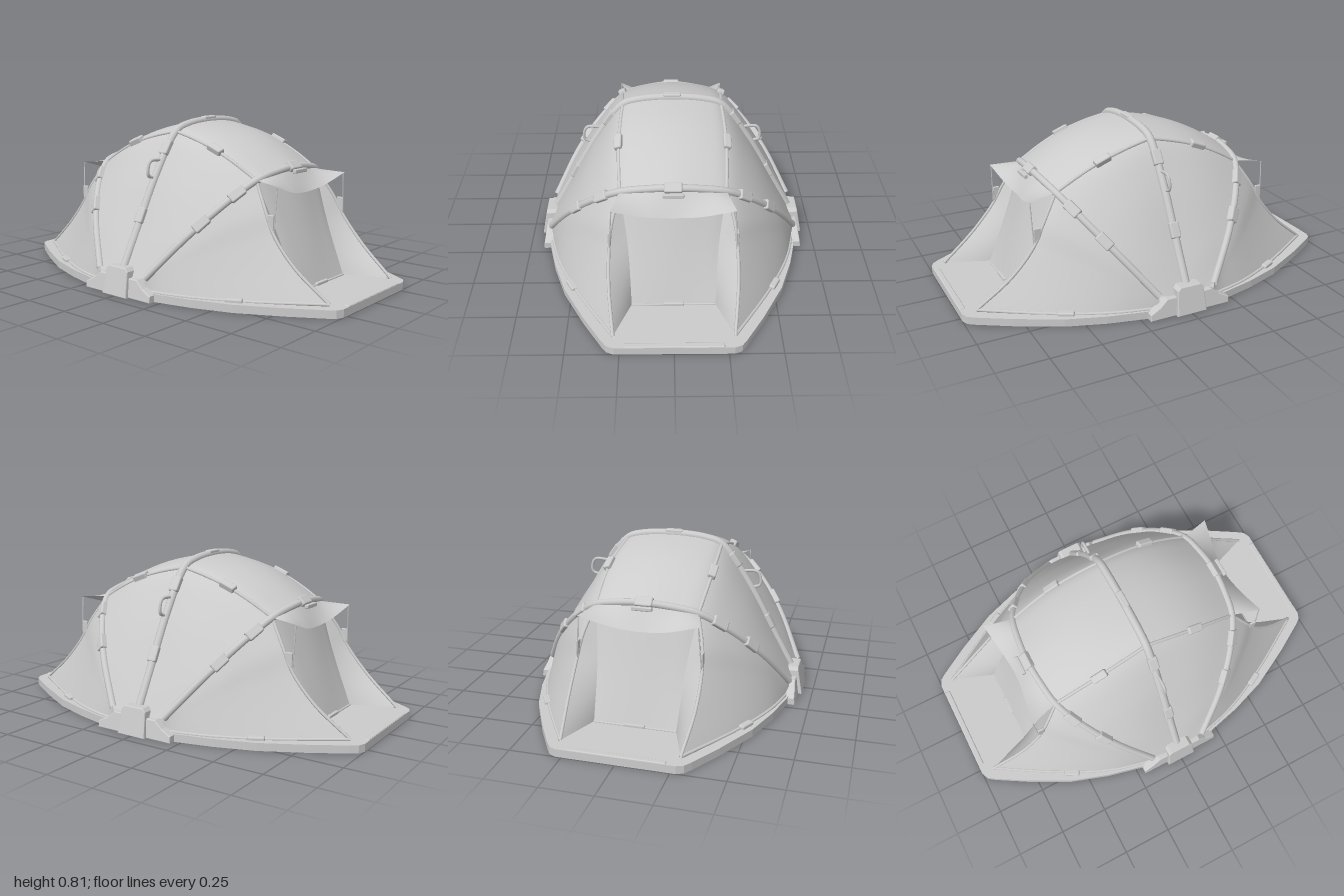
import * as THREE from 'three';
import { RoundedBoxGeometry } from 'three/addons/geometries/RoundedBoxGeometry.js';

const V = (x, y, z) => new THREE.Vector3(x, y, z);
const mat = new THREE.MeshStandardMaterial({ color: 0xcccccc, side: THREE.DoubleSide });
const spline = (pts) => new THREE.CatmullRomCurve3(pts);

function add(parent, name, geometry) {
  const m = new THREE.Mesh(geometry, mat);
  m.name = name;
  parent.add(m);
  return m;
}

// Surface from a rule f(a, b) -> point, with a and b running 0..1
function patch(f, na, nb) {
  const pos = [], idx = [];
  for (let i = 0; i <= na; i++)
    for (let j = 0; j <= nb; j++) pos.push(...f(i / na, j / nb).toArray());
  for (let i = 0; i < na; i++)
    for (let j = 0; j < nb; j++) {
      const p = i * (nb + 1) + j, q = p + nb + 1;
      idx.push(p, q, p + 1, q, q + 1, p + 1);
    }
  const g = new THREE.BufferGeometry();
  g.setAttribute('position', new THREE.Float32BufferAttribute(pos, 3));
  g.setIndex(idx);
  g.computeVertexNormals();
  return g;
}

const tube = (curve, r, n = 48, sides = 8) => new THREE.TubeGeometry(curve, n, r, sides, false);

// Arch through half-profile points [x, y, z], mirrored over z
function arch(half) {
  const a = half.map((p) => V(...p));
  const b = half.slice(0, -1).reverse().map(([x, y, z]) => V(x, y, -z));
  return spline([...a, ...b]);
}

const midArch = arch([[0, 0.08, 0.65], [0, 0.27, 0.545], [0, 0.56, 0.385], [0, 0.745, 0.248], [0, 0.772, 0.17], [0, 0.785, 0]]);
const sideArch = arch([[0.64, 0.1], [0.51, 0.31], [0.375, 0.46], [0.25, 0.55], [0.13, 0.578], [0, 0.59]]
  .map(([z, y]) => [0.15 + 0.78 * (y - 0.1), y, z]));
const SEAM = 0.3; // position of the roof seam along both arches

// Roof cloth stretched between the arches, slightly bulged
function canopyPoint(u, t) {
  const p = midArch.getPoint(u).lerp(sideArch.getPoint(u), t);
  const out = p.clone().sub(V(0, 0.05, 0)).normalize();
  return p.addScaledVector(out, 0.038 * Math.sin(Math.PI * t) * Math.sin(Math.PI * u));
}

// Small clip lying on a curve, facing outwards
function clip(parent, curve, u, w = 0.085, d = 0.05, out = null) {
  const p = curve.getPoint(u), x = curve.getTangent(u).normalize();
  const o = out || p.clone().sub(V(0, 0.05, 0));
  const z = x.clone().cross(o).normalize(), y = z.clone().cross(x);
  const m = add(parent, 'clip', new RoundedBoxGeometry(w, 0.045, d, 2, 0.008));
  m.quaternion.setFromRotationMatrix(new THREE.Matrix4().makeBasis(x, y, z));
  m.position.copy(p);
}

// One end of the tent (+x): roof, side arch, wings, doorway, awning
function createEnd() {
  const g = new THREE.Group();
  g.name = 'tentEnd';
  add(g, 'roofCloth', patch(canopyPoint, 60, 14));
  add(g, 'sideArch', tube(sideArch, 0.018, 80, 10));
  [0.5, 0.13, 0.23, 0.77, 0.87].forEach((u) => clip(g, sideArch, u));

  for (const s of [1, -1]) {
    const m = (x, y, z) => V(x, y, z * s);
    const archU = (k) => (s > 0 ? k : 1 - k);
    const top = sideArch.getPoint(archU(SEAM));

    // Roof seam
    const seam = spline([0, 0.25, 0.5, 0.75, 1].map((t) => canopyPoint(archU(SEAM), t)));
    add(g, 'roofSeam', tube(seam, 0.009));
    clip(g, seam, 0.5, 0.085, 0.04);

    // Wing cloth from the arch to the base, with a curved free edge
    const hem = spline([m(0.15, 0.04, 0.64), m(0.36, 0.04, 0.585), m(0.6, 0.04, 0.475), m(0.93, 0.045, 0.28)]);
    const edge = spline([top, m(0.585, 0.42, 0.29), m(0.64, 0.32, 0.302), m(0.755, 0.187, 0.302), m(0.93, 0.045, 0.28)]);
    const wing = (k, t) => {
      const p = sideArch.getPoint(archU(SEAM * k)).lerp(hem.getPoint(k), t);
      const off = edge.getPoint(t).sub(top.clone().lerp(m(0.93, 0.045, 0.28), t));
      return p.addScaledVector(off, k ** 1.5);
    };
    add(g, 'wingCloth', patch(s > 0 ? (a, b) => wing(a, b) : (a, b) => wing(1 - a, b), 28, 24));
    add(g, 'wingHem', tube(hem, 0.008));
    add(g, 'wingEdge', tube(edge, 0.008));
    clip(g, hem, 0.62, 0.08, 0.03);

    // Inner wall of the porch
    const inner = spline([top, m(0.6, 0.3, 0.215), m(0.71, 0.04, 0.2)]);
    add(g, 'porchWall', patch((a, b) => edge.getPoint(b).lerp(inner.getPoint(b), s > 0 ? a : 1 - a), 8, 24));

    // Cord and toggle holding the awning corner
    add(g, 'awningCord', tube(new THREE.LineCurve3(m(0.645, 0.535, 0.285), m(0.64, 0.33, 0.3)), 0.003, 1, 5));
    add(g, 'cordToggle', new RoundedBoxGeometry(0.035, 0.07, 0.012, 2, 0.004)).position.copy(m(0.622, 0.375, 0.3));
  }

  // Door cloth closing the end below the arch
  const post = spline([sideArch.getPoint(SEAM), V(0.6, 0.3, 0.215), V(0.71, 0.04, 0.2)]);
  add(g, 'doorCloth', patch((v, t) => {
    const a = post.getPoint(t), b = a.clone().setZ(-a.z);
    const rise = sideArch.getPoint(SEAM + v * (1 - 2 * SEAM))
      .sub(post.getPoint(0).lerp(post.getPoint(0).setZ(-0.25), v));
    return a.lerp(b, v).addScaledVector(rise, 1 - t);
  }, 24, 20));
  add(g, 'doorSill', tube(new THREE.LineCurve3(V(0.71, 0.04, 0.2), V(0.71, 0.04, -0.2)), 0.006, 1));
  add(g, 'sillClip', new RoundedBoxGeometry(0.02, 0.02, 0.1, 2, 0.005)).position.set(0.71, 0.042, 0);

  // Awning over the doorway, sagging in the middle
  const lip = spline([V(0.65, 0.54, 0.29), V(0.625, 0.49, 0.13), V(0.612, 0.475, 0), V(0.625, 0.49, -0.13), V(0.65, 0.54, -0.29)]);
  add(g, 'awning', patch((v, t) => sideArch.getPoint(SEAM + v * (1 - 2 * SEAM)).lerp(lip.getPoint(v), t), 28, 6));
  add(g, 'awningClip', new RoundedBoxGeometry(0.02, 0.02, 0.1, 2, 0.005)).position.set(0.575, 0.575, 0);

  // Raised strip along the outer edge of the base
  add(g, 'baseStrip', new RoundedBoxGeometry(0.03, 0.042, 0.46, 2, 0.006)).position.set(0.984, 0.022, 0);
  return g;
}

// Base plate with rounded corners
function createBase() {
  const quarter = [[1, 0.24], [1, 0.275], [0.985, 0.31], [0.95, 0.335], [0.8, 0.425], [0.59, 0.535], [0.4, 0.6], [0.15, 0.66], [0, 0.67]];
  const half = [...quarter, ...quarter.slice(0, -1).reverse().map(([x, z]) => [-x, z])];
  const all = [...half, ...half.slice().reverse().map(([x, z]) => [x, -z])];
  const shape = new THREE.Shape(all.map(([x, z]) => new THREE.Vector2(x, z)));
  const g = new THREE.ExtrudeGeometry(shape, { depth: 0.038, bevelEnabled: false });
  return g.rotateX(-Math.PI / 2);
}

// Foot joint where the three arches meet
function createHub() {
  const g = new THREE.Group();
  g.name = 'hub';
  const plate = (pts, depth, z, lean) => {
    const geo = new THREE.ExtrudeGeometry(new THREE.Shape(pts.map(([x, y]) => new THREE.Vector2(x, y))),
      { depth, bevelThickness: 0.006, bevelSize: 0.004, bevelSegments: 2 });
    const p = geo.attributes.position;
    for (let i = 0; i < p.count; i++) p.setZ(i, p.getZ(i) + z - lean * p.getY(i));
    geo.computeVertexNormals();
    return geo;
  };
  add(g, 'hubFlange', plate([[-0.21, 0.004], [0.21, 0.004], [0.21, 0.03], [0.16, 0.055], [0.12, 0.088],
    [-0.12, 0.088], [-0.16, 0.055], [-0.21, 0.03]], 0.045, 0.63, 0.15));
  add(g, 'hubBlock', plate([[-0.075, 0.004], [0.075, 0.004], [0.066, 0.12], [0.052, 0.134], [-0.052, 0.134], [-0.066, 0.12]],
    0.06, 0.634, 0.2));
  return g;
}

export function createModel() {
  const model = new THREE.Group();
  model.name = 'tent';
  add(model, 'basePlate', createBase());

  for (const turn of [0, Math.PI]) {
    const end = createEnd(), hub = createHub();
    end.rotation.y = hub.rotation.y = turn;
    model.add(end, hub);
  }

  // Middle arch with clips and carrying loops
  add(model, 'middleArch', tube(midArch, 0.021, 90, 10));
  clip(model, midArch, 0.5, 0.09, 0.036);
  for (const s of [1, -1]) {
    clip(model, midArch, s > 0 ? 0.25 : 0.75, 0.08, 0.05);
    clip(model, midArch, s > 0 ? 0.13 : 0.87, 0.08, 0.05);
    const loop = spline([V(0, 0.53, s * 0.4), V(0, 0.545, s * 0.45), V(0, 0.585, s * 0.452), V(0, 0.615, s * 0.435), V(0, 0.615, s * 0.36)]);
    add(model, 'carryLoop', tube(loop, 0.008, 20, 6));
  }
  return model;
}
